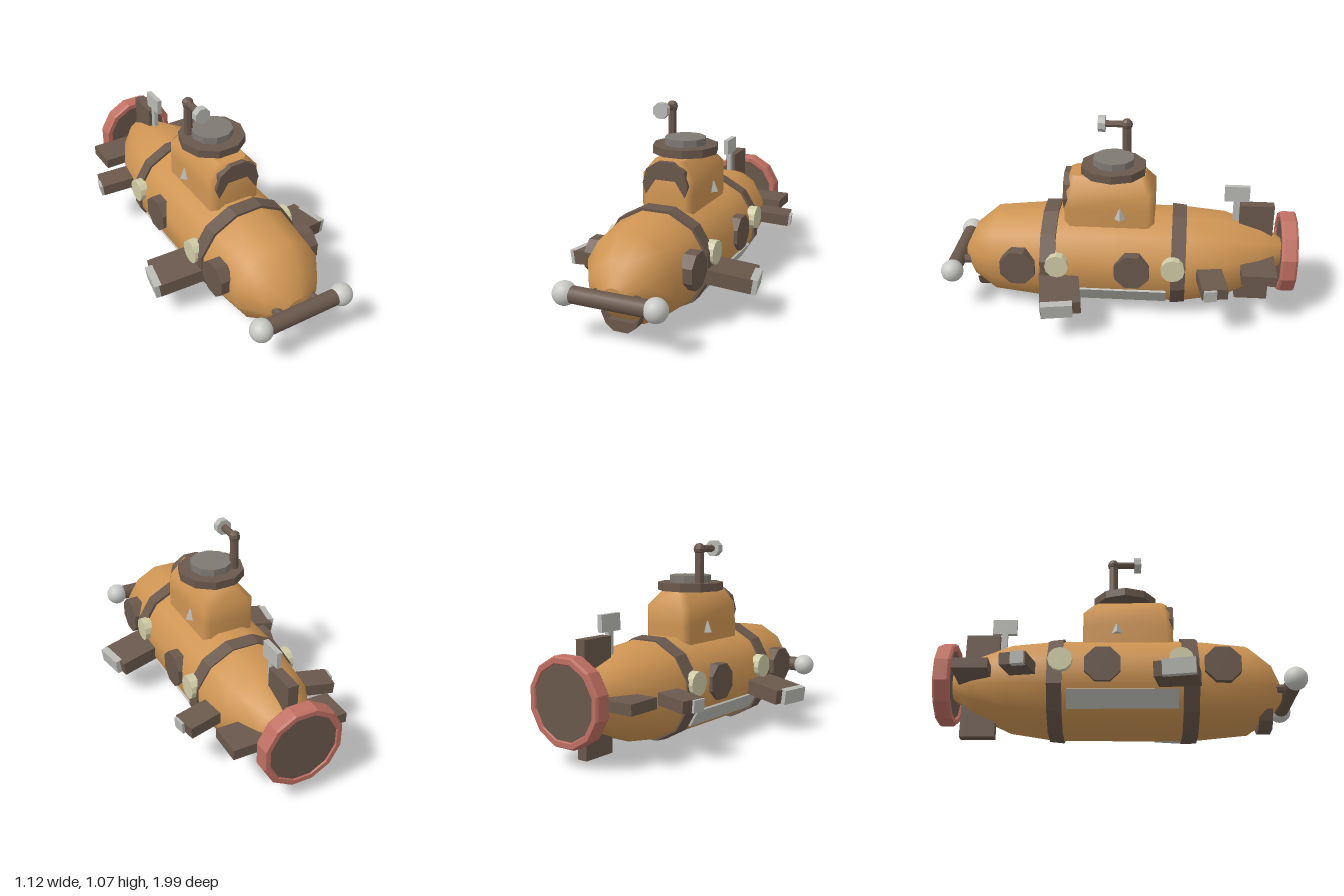
import * as THREE from 'three';

const mat = (name, color) => {
  const m = new THREE.MeshStandardMaterial({ color });
  m.name = name;
  return m;
};

export function createModel() {
  const ochre = mat('ochre hull', 0xcf9553);
  const brown = mat('dark brown', 0x6a584c);
  const red = mat('dull red', 0xbf6f61);
  const silver = mat('silver', 0xb9b9b4);
  const pewter = mat('pewter', 0x7f7973);
  const cream = mat('cream', 0xcfcba6);
  const pearl = mat('pearl', 0xc8c8c4);

  const model = new THREE.Group();
  model.name = 'submarine';

  const add = (name, geo, material, pos = [0, 0, 0], rot = [0, 0, 0]) => {
    const m = new THREE.Mesh(geo, material);
    m.name = name;
    m.position.set(...pos);
    m.rotation.set(...rot);
    model.add(m);
    return m;
  };
  const flat = (g) => {
    const f = g.index ? g.toNonIndexed() : g;
    f.computeVertexNormals();
    return f;
  };
  const box = (x, y, z) => new THREE.BoxGeometry(x, y, z);

  // Prism along x, y or z, turned about its own axis
  const prism = (axis, r, length, sides, turn = 0) => {
    const g = new THREE.CylinderGeometry(r, r, length, sides).rotateY(turn);
    if (axis === 'x') g.rotateZ(Math.PI / 2);
    if (axis === 'z') g.rotateX(Math.PI / 2);
    return flat(g);
  };

  // Skin through closed sections, with flat end caps
  const loft = (sections) => {
    const n = sections[0].length, pos = [], idx = [];
    sections.forEach((s) => s.forEach((p) => pos.push(...p)));
    for (let i = 0; i < sections.length - 1; i++) {
      for (let j = 0; j < n; j++) {
        const a = i * n + j, b = i * n + (j + 1) % n;
        idx.push(a, b, b + n, a, b + n, a + n);
      }
    }
    const first = sections[0], last = sections[sections.length - 1];
    const s0 = pos.length / 3;
    first.forEach((p) => pos.push(...p));
    last.forEach((p) => pos.push(...p));
    for (let j = 1; j < n - 1; j++) {
      idx.push(s0, s0 + j + 1, s0 + j, s0 + n, s0 + n + j, s0 + n + j + 1);
    }
    const g = new THREE.BufferGeometry();
    g.setAttribute('position', new THREE.Float32BufferAttribute(pos, 3));
    g.setIndex(idx);
    g.computeVertexNormals();
    return g;
  };

  // Twelve-sided hull section: z, centre height, half width, half height
  const section = ([z, cy, hw, hh]) => Array.from({ length: 12 }, (_, i) => {
    const a = (i + 0.5) * Math.PI / 6, k = Math.cos(Math.PI / 12);
    return [Math.cos(a) * hw / k, cy + Math.sin(a) * hh / k, z];
  });

  // Hull
  add('hull', loft([
    [-0.93, 0.32, 0.06, 0.075], [-0.9, 0.32, 0.08, 0.095], [-0.8, 0.308, 0.155, 0.16],
    [-0.6, 0.297, 0.25, 0.238], [-0.36, 0.288, 0.284, 0.266], [0, 0.287, 0.286, 0.268],
    [0.4, 0.287, 0.286, 0.268], [0.7, 0.287, 0.25, 0.24], [0.83, 0.277, 0.165, 0.145],
    [0.89, 0.26, 0.06, 0.045],
  ].map(section)), ochre);

  // Hull bands
  add('frontBand', flat(loft([[0.335, 0.287, 0.3, 0.283], [0.42, 0.287, 0.298, 0.281]].map(section))), brown);
  add('rearBand', flat(loft([[-0.385, 0.288, 0.29, 0.272], [-0.305, 0.288, 0.298, 0.28]].map(section))), brown);

  // Tower: height, half width, front z, back z, corner cut
  const towerSection = ([y, w, f, b, c]) => [
    [w - c, y, f], [w, y, f - c], [w, y, b + c], [w - c, y, b],
    [c - w, y, b], [-w, y, b + c], [-w, y, f - c], [c - w, y, f],
  ];
  add('tower', loft([
    [0.46, 0.15, 0.3, -0.205, 0.035], [0.62, 0.15, 0.298, -0.205, 0.035],
    [0.715, 0.15, 0.288, -0.205, 0.035], [0.796, 0.085, 0.27, -0.15, 0.03],
  ].map(towerSection)), ochre);

  // Arched plates on the tower front and under the nose
  const plate = (half, depth) => {
    const pts = [...half, ...half.map(([x, y]) => [-x, y]).reverse()];
    const shape = new THREE.Shape(pts.map(([x, y]) => new THREE.Vector2(x, y)));
    return flat(new THREE.ExtrudeGeometry(shape, { depth, bevelEnabled: false }));
  };
  add('towerWindow', plate([[0.06, 0.695], [0.115, 0.61], [0.132, 0.67], [0.11, 0.75], [0.042, 0.795]], 0.04),
    brown, [0, 0, 0.262]);
  add('chinPlate', plate([[0.07, 0.105], [0.11, 0.14], [0.085, 0.08], [0.04, 0.045]], 0.075),
    brown, [0, 0, 0.748]);

  // Hatch
  add('hatchRim', prism('y', 0.185, 0.045, 10, Math.PI / 10), brown, [0, 0.818, 0.03]);
  add('hatchLid', prism('y', 0.117, 0.04, 10, Math.PI / 10), pewter, [0, 0.86, 0.03]);

  // Periscope
  add('periscopeTube', prism('y', 0.025, 0.21, 8), brown, [-0.11, 0.935, -0.035]);
  add('periscopeElbow', flat(new THREE.SphereGeometry(0.033, 8, 6)), brown, [-0.11, 1.03, -0.035]);
  add('periscopeArm', prism('z', 0.02, 0.14, 8), brown, [-0.11, 1.03, 0.03]);
  add('periscopeLens', prism('z', 0.046, 0.04, 8, Math.PI / 8), silver, [-0.11, 1.03, 0.105]);

  // Nose bumper
  add('bumperBar', new THREE.CylinderGeometry(0.045, 0.045, 0.5, 16), brown,
    [0, 0.255, 0.93], [0, 0, Math.PI / 2]);

  for (const s of [1, -1]) {
    const side = s > 0 ? 'left' : 'right';
    add(side + 'BumperBall', new THREE.SphereGeometry(0.063, 20, 14), pearl, [s * 0.25, 0.255, 0.93]);
    add(side + 'BumperStrut', prism('z', 0.025, 0.15, 8), brown, [s * 0.11, 0.255, 0.855]);

    // Portholes and lamps
    for (const z of [0.545, -0.09]) {
      add(side + 'Porthole', prism('x', 0.104, 0.07, 8, Math.PI / 8), brown, [s * 0.272, 0.32, z]);
    }
    for (const z of [0.325, -0.315]) {
      add(side + 'Lamp', prism('x', 0.066, 0.05, 12), cream, [s * 0.29, 0.345, z]);
    }

    // Swept diving fins with pale tips
    const front = [0, s * 0.175, -s * 0.14], rear = [0, s * 0.175, -s * 0.09];
    add(side + 'FrontFin', box(0.27, 0.08, 0.22), brown, [s * 0.38, 0.225, 0.3], front);
    add(side + 'FrontFinTip', box(0.042, 0.082, 0.17), silver, [s * 0.521, 0.205, 0.297], front);
    add(side + 'RearFin', box(0.22, 0.065, 0.14), brown, [s * 0.335, 0.3, -0.528], rear);
    add(side + 'RearFinTip', box(0.042, 0.066, 0.07), silver, [s * 0.441, 0.289, -0.518], rear);

    // Lower side panel lying on the hull facet
    add(side + 'SidePanel', box(0.03, 0.105, 0.59), silver, [s * 0.241, 0.148, 0.015], [0, 0, -s * 0.54]);

    // Small tower lug
    add(side + 'TowerLug', flat(new THREE.CylinderGeometry(0.006, 0.03, 0.06, 4)), silver,
      [s * 0.15, 0.6, -0.015]);

    add(side + 'TailFin', box(0.3, 0.058, 0.19), brown, [s * 0.18, 0.315, -0.785]);
  }

  // Upright tail fin and mast
  add('tailRudder', box(0.058, 0.605, 0.19), brown, [0, 0.315, -0.775]);
  add('tailMast', box(0.025, 0.2, 0.035), silver, [0, 0.58, -0.66]);
  add('tailMastPlate', box(0.028, 0.09, 0.138), silver, [0, 0.68, -0.66]);

  // Stern ring and its disc
  const polygon = (r, Kind) => new Kind(Array.from({ length: 12 }, (_, i) => {
    const a = (i + 0.5) * Math.PI / 6;
    return new THREE.Vector2(Math.cos(a) * r, Math.sin(a) * r);
  }));
  const ring = polygon(0.224, THREE.Shape);
  ring.holes.push(polygon(0.198, THREE.Path));
  add('sternRing', flat(new THREE.ExtrudeGeometry(ring, {
    depth: 0.066, bevelEnabled: true, bevelThickness: 0.012, bevelSize: 0.008, bevelSegments: 1,
  })), red, [0, 0.325, -0.988]);
  add('sternDisc', prism('z', 0.2, 0.07, 12, Math.PI / 12), brown, [0, 0.325, -0.957]);

  return model;
}
